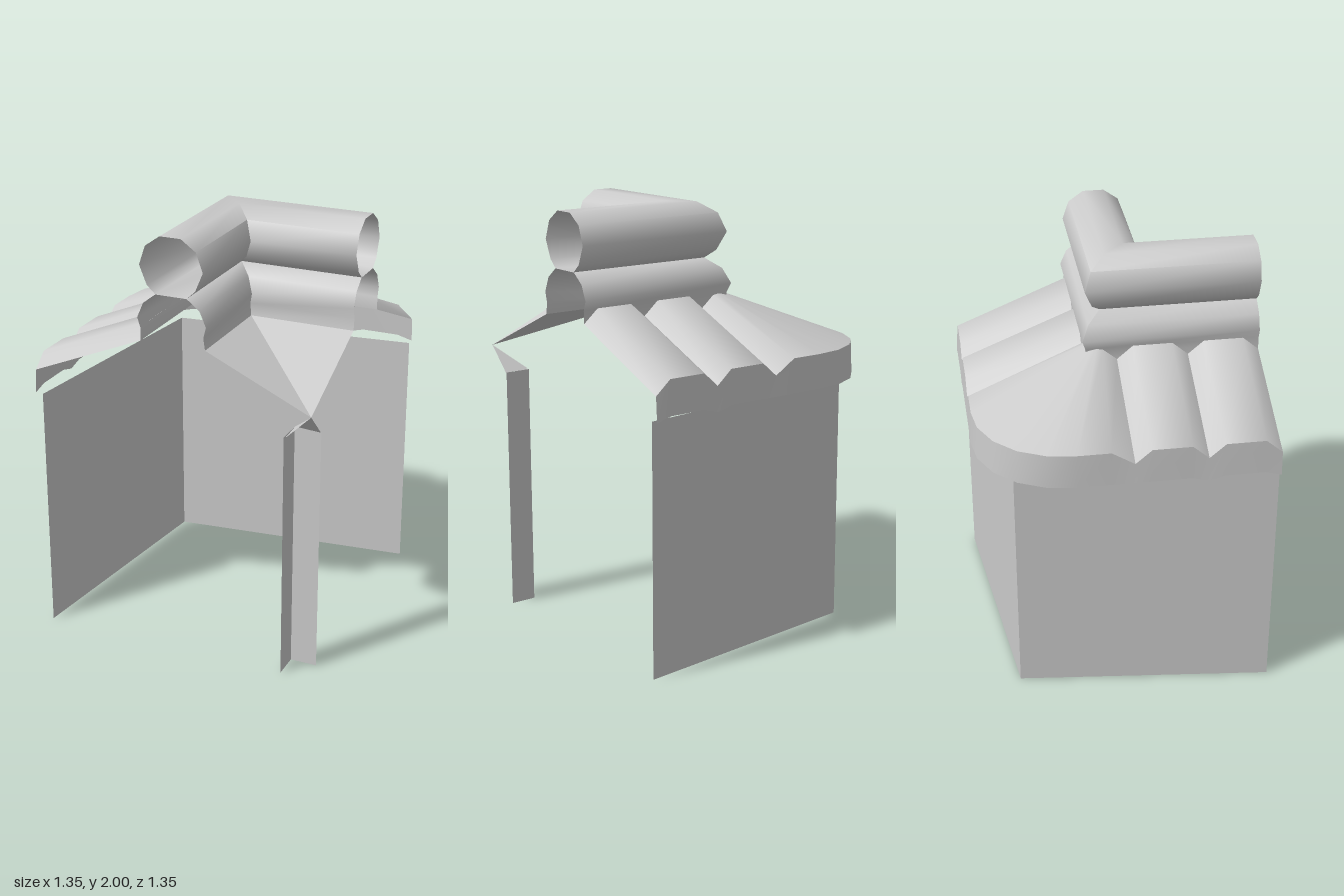
import * as THREE from 'three';
import { toCreasedNormals } from 'three/addons/utils/BufferGeometryUtils.js';

const material = new THREE.MeshStandardMaterial({ color: 0xcccccc, side: THREE.DoubleSide });
const END = 0.675; // cut plane of the corner piece
const swap = ([x, y, z]) => [z, y, x]; // mirror across the diagonal

// Skin between rows of points; every row has the same number of points
function surface(name, rows) {
  const n = rows[0].length;
  const index = [];
  for (let r = 0; r < rows.length - 1; r++) {
    for (let i = 0; i < n - 1; i++) {
      const a = r * n + i, b = a + n;
      index.push(a, b, a + 1, a + 1, b, b + 1);
    }
  }
  const geometry = new THREE.BufferGeometry();
  geometry.setAttribute('position', new THREE.Float32BufferAttribute(rows.flat(2), 3));
  geometry.setIndex(index);
  const mesh = new THREE.Mesh(toCreasedNormals(geometry, 0.9), material);
  mesh.name = name;
  return mesh;
}

// Flat triangles
function triangles(name, tris) {
  const geometry = new THREE.BufferGeometry();
  geometry.setAttribute('position', new THREE.Float32BufferAttribute(tris.flat(2), 3));
  geometry.computeVertexNormals();
  const mesh = new THREE.Mesh(geometry, material);
  mesh.name = name;
  return mesh;
}

// Ridge roll: one profile swept along both wings with a mitred corner
const roll = (name, profile) => surface(name, [
  profile.map(([t, y]) => [t, y, END]),
  profile.map(([t, y]) => [t, y, t]),
  profile.map(([t, y]) => [END, y, t]),
]);

// Vertical panel standing on the ground along a plan path
const panel = (name, path, height) => surface(name, [
  path.map(([x, z]) => [x, 0, z]),
  path.map(([x, z]) => [x, height, z]),
]);

export function createModel() {
  const model = new THREE.Group();
  model.name = 'roofedWallCorner';

  // Walls and the small inner corner post
  model.add(panel('walls', [[END, -0.64], [-0.51, -0.51], [-0.64, END]], 1.175));
  model.add(panel('cornerPost', [[END, 0.55], [0.55, 0.55], [0.55, END]], 1.175));

  // Outer roof: stations of eave, ridge and fascia bottom along one wing
  const stations = [];
  const tile = (u, valley, bottom) => stations.push({
    eave: [u, valley ? 1.29 : 1.355, -0.67],
    ridge: [u, valley ? 1.515 : 1.58, -0.13],
    foot: [u, bottom, -0.677],
  });
  for (const v of [0.675, 0.345]) {
    tile(v, true, 1.175);
    tile(v - 0.075, false, 1.195);
    tile(v - 0.255, false, 1.195);
  }
  tile(0.015, true, 1.195);
  // Rounded fan at the corner: eave x, eave z, ridge x, ridge y
  const fan = [
    [-0.09, -0.67, -0.05, 1.57], [-0.24, -0.67, -0.08, 1.575],
    [-0.37, -0.652, -0.105, 1.57], [-0.495, -0.592, -0.125, 1.565],
  ];
  for (const [x, z, rx, ry] of fan) {
    stations.push({
      eave: [x, 1.355, z],
      ridge: [rx, ry, -0.13],
      foot: [x * 1.01, 1.195, z * 1.01],
    });
  }
  const line = (key) => {
    const half = stations.map((s) => s[key]);
    return [...half, ...half.map(swap).reverse()];
  };
  model.add(surface('outerRoofTiles', [line('ridge'), line('eave')]));
  model.add(surface('eaveFascia', [line('eave'), line('foot')]));

  // Inner roof valley
  const top = [0.18, 1.515, 0.18];
  const low = [END, 1.29, END];
  const side = [END, 1.515, 0.18];
  model.add(triangles('innerRoof', [[top, low, side], [top, swap(side), low]]));

  // Small soffit between the inner roof corner and the post
  const postTop = [0.555, 1.18, 0.555];
  const tip = [END, 1.172, 0.555];
  model.add(triangles('innerSoffit', [[low, postTop, tip], [low, swap(tip), postTop]]));

  // Lower ridge roll, open below
  model.add(roll('lowerRidgeRoll', [
    [-0.13, 1.515], [-0.13, 1.575], [-0.145, 1.62], [-0.115, 1.69], [-0.055, 1.737],
    [0.095, 1.737], [0.155, 1.69], [0.185, 1.62], [0.172, 1.57], [0.18, 1.515],
  ]));

  // Upper ridge roll, closed all round
  model.add(roll('upperRidgeRoll', [
    [-0.055, 1.738], [-0.095, 1.775], [-0.13, 1.862], [-0.1, 1.95], [-0.03, 2],
    [0.07, 2], [0.14, 1.95], [0.172, 1.862], [0.135, 1.775], [0.095, 1.738], [-0.055, 1.738],
  ]));

  return model;
}
